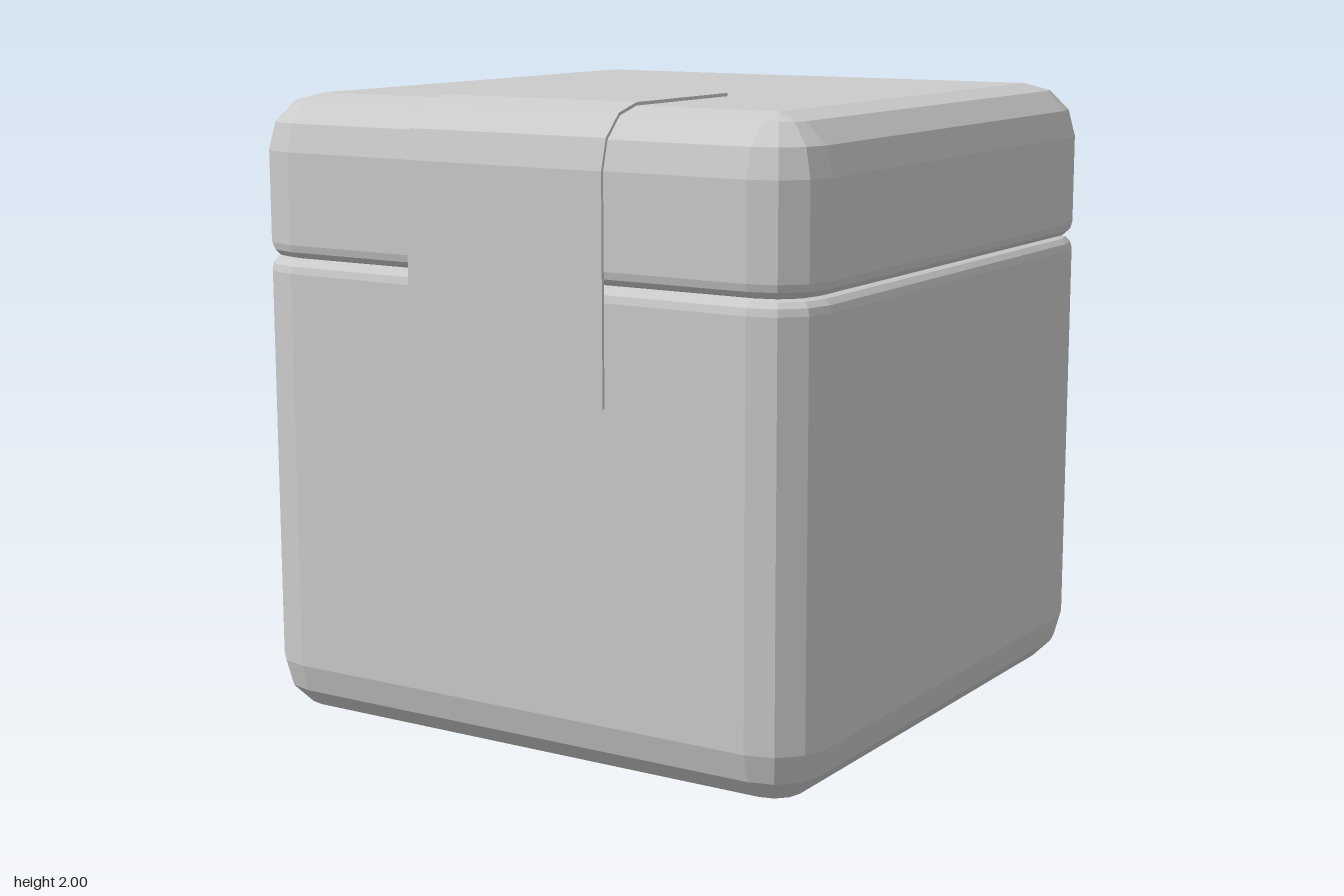
import * as THREE from 'three';

const HALF = 0.995, MID_Z = -0.005, CORNER = 0.175, LIP = 0.045, STEPS = 3;
const SEAM = 1.483, TOP = 1.99;

const material = new THREE.MeshStandardMaterial({ color: 0xcccccc, flatShading: true });

// Rounded-square ring, counterclockwise seen from above, pulled inwards by inset
function ring(inset, y) {
  const r = Math.max(CORNER - inset, 0), c = HALF - CORNER, points = [];
  for (let q = 0; q < 4; q++) {
    const mid = (q + 0.5) * Math.PI / 2;
    for (let i = 0; i <= STEPS; i++) {
      const a = (q + i / STEPS) * Math.PI / 2;
      points.push(
        Math.sign(Math.cos(mid)) * c + r * Math.cos(a), y,
        MID_Z - Math.sign(Math.sin(mid)) * c - r * Math.sin(a));
    }
  }
  return points;
}

// Closed block with its own bevel radius at the bottom and the top
function roundedBlock(name, y0, y1, r0, r1) {
  const positions = [], index = [], n = 4 * (STEPS + 1);
  for (let i = 0; i <= STEPS; i++) {
    const a = i / STEPS * Math.PI / 2;
    positions.push(...ring(r0 * (1 - Math.sin(a)), y0 + r0 * (1 - Math.cos(a))));
  }
  for (let i = 0; i <= STEPS; i++) {
    const a = i / STEPS * Math.PI / 2;
    positions.push(...ring(r1 * (1 - Math.cos(a)), y1 - r1 * (1 - Math.sin(a))));
  }
  const rows = 2 * (STEPS + 1);
  for (let j = 0; j < rows - 1; j++) {
    for (let i = 0; i < n; i++) {
      const a = j * n + i, b = j * n + (i + 1) % n;
      index.push(a, b, b + n, a, b + n, a + n);
    }
  }
  // Flat caps
  const last = (rows - 1) * n;
  for (let i = 1; i < n - 1; i++) {
    index.push(0, i + 1, i, last, last + i, last + i + 1);
  }
  let geometry = new THREE.BufferGeometry();
  geometry.setAttribute('position', new THREE.Float32BufferAttribute(positions, 3));
  geometry.setIndex(index);
  geometry = geometry.toNonIndexed();
  geometry.computeVertexNormals();
  const mesh = new THREE.Mesh(geometry, material);
  mesh.name = name;
  return mesh;
}

// Thin strap bent over the front edge of the lid
function clasp() {
  const cz = MID_Z + HALF - CORNER, cy = TOP - CORNER;
  const side = (r) => {
    const points = [new THREE.Vector2(cz + r, 1.13)];
    for (let i = 0; i <= STEPS; i++) {
      const a = i / STEPS * Math.PI / 2;
      points.push(new THREE.Vector2(cz + r * Math.cos(a), cy + r * Math.sin(a)));
    }
    points.push(new THREE.Vector2(0.31, cy + r));
    return points;
  };
  const shape = new THREE.Shape([...side(CORNER + 0.01), ...side(CORNER - 0.002).reverse()]);
  const geometry = new THREE.ExtrudeGeometry(shape, { depth: 0.7, bevelEnabled: false });
  geometry.translate(0, 0, -0.35).rotateY(-Math.PI / 2);
  const mesh = new THREE.Mesh(geometry, material);
  mesh.name = 'clasp';
  return mesh;
}

export function createModel() {
  const group = new THREE.Group();
  group.name = 'box';
  group.add(
    roundedBlock('body', 0, SEAM, CORNER, LIP),
    roundedBlock('lid', SEAM, TOP, LIP, CORNER),
    clasp());
  return group;
}
